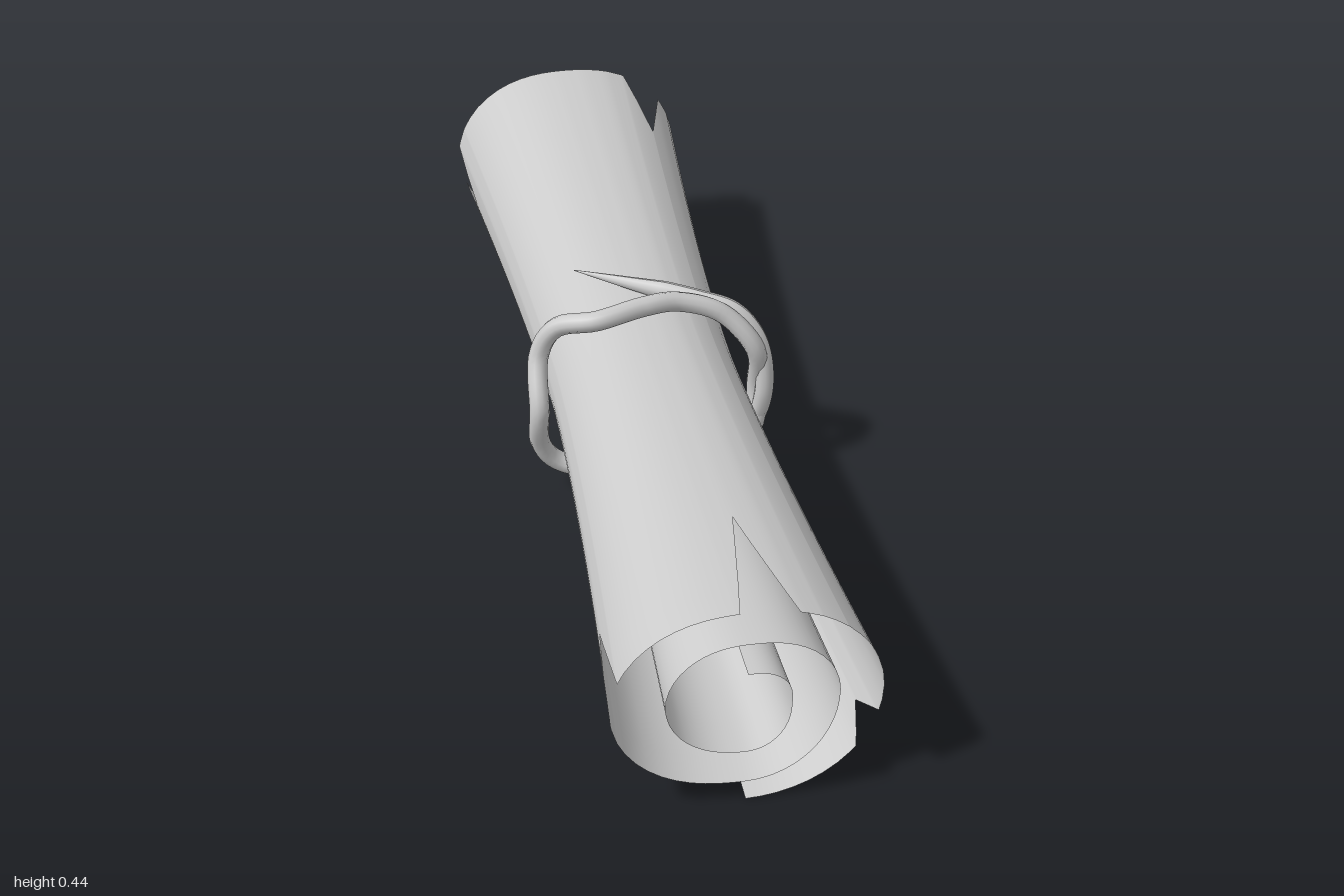
import * as THREE from 'three';

const material = new THREE.MeshStandardMaterial({ color: 0xcccccc, side: THREE.DoubleSide });

// Spiral radius at every quarter turn: bottom, back, top, front, bottom ...
const RADII = [0.222, 0.243, 0.187, 0.243, 0.182, 0.165, 0.12, 0.145, 0.115, 0.08, 0.055];
const TURNS = (RADII.length - 1) / 4;

function spiralRadius(turn) {
  const q = Math.min(turn * 4, RADII.length - 1.0001);
  const i = Math.floor(q);
  const f = q - i;
  return THREE.MathUtils.lerp(RADII[i], RADII[i + 1], f * f * (3 - 2 * f));
}

// Triangular tears: turn position, half width in turns, depth along the roll
const TEARS = {
  left: [[0.765, 0.03, 0.18], [0.355, 0.036, 0.2]],
  right: [[0.735, 0.03, 0.2], [0.47, 0.044, 0.3], [0.185, 0.028, 0.08]],
};

function tearDepth(tears, turn) {
  return tears.reduce((depth, [at, half, deep]) =>
    Math.max(depth, deep * (1 - Math.abs(turn - at) / half)), 0);
}

// Rolled sheet: one column of points per spiral step, shortened where torn
function sheetGeometry() {
  const columns = [];
  for (let i = 0; i <= 120; i++) columns.push(i / 120 * TURNS);
  for (const [at, half] of [...TEARS.left, ...TEARS.right]) columns.push(at - half, at, at + half);
  columns.sort((a, b) => a - b);

  const rows = 28;
  const positions = [];
  const index = [];
  columns.forEach((turn, i) => {
    const angle = turn * Math.PI * 2;
    const r = spiralRadius(turn);
    const start = -1 + tearDepth(TEARS.left, turn);
    const end = 1 - tearDepth(TEARS.right, turn);
    for (let j = 0; j <= rows; j++) {
      const u = THREE.MathUtils.lerp(start, end, j / rows);
      const flare = Math.abs(u) ** 1.5;
      const wide = 0.77 + 0.23 * flare;
      const high = 0.83 + (u < 0 ? 0.2 : 0.17) * flare;
      const centre = 0.228 + flare * (u < 0 ? 0.015 : -0.004);
      positions.push(u, centre - r * high * Math.cos(angle), -r * wide * Math.sin(angle));
      if (i < columns.length - 1 && j < rows) {
        const a = i * (rows + 1) + j;
        const b = a + rows + 1;
        index.push(a, b, a + 1, b, b + 1, a + 1);
      }
    }
  });
  const geometry = new THREE.BufferGeometry();
  geometry.setAttribute('position', new THREE.Float32BufferAttribute(positions, 3));
  geometry.setIndex(index);
  geometry.computeVertexNormals();
  return geometry;
}

// Cord through points; its start can taper to a tip
function cord(name, points, radius, closed, taper) {
  const curve = new THREE.CatmullRomCurve3(points.map(p => new THREE.Vector3(...p)), closed);
  const segments = 100;
  const sides = 10;
  const geometry = new THREE.TubeGeometry(curve, segments, radius, sides, closed);
  if (taper) {
    const pos = geometry.attributes.position;
    const v = new THREE.Vector3();
    for (let i = 0; i < pos.count; i++) {
      const t = Math.floor(i / (sides + 1)) / segments;
      const scale = Math.min(1, 0.05 + t / taper, 0.05 + (1 - t) / 0.04);
      const centre = curve.getPointAt(t);
      v.fromBufferAttribute(pos, i).sub(centre).multiplyScalar(scale).add(centre);
      pos.setXYZ(i, v.x, v.y, v.z);
    }
    geometry.computeVertexNormals();
  }
  const mesh = new THREE.Mesh(geometry, material);
  mesh.name = name;
  return mesh;
}

export function createModel() {
  const model = new THREE.Group();
  model.name = 'tiedScroll';

  // Paper roll, lying diagonally
  const sheet = new THREE.Mesh(sheetGeometry(), material);
  sheet.name = 'rolledSheet';
  sheet.rotation.y = -0.488;
  model.add(sheet);

  // Cord wrapped once around the middle
  model.add(cord('cordLoop', [
    [0.0, 0.42, 0.0], [-0.025, 0.412, 0.1], [-0.09, 0.385, 0.15], [-0.115, 0.32, 0.175],
    [-0.075, 0.22, 0.205], [-0.1, 0.12, 0.185], [-0.09, 0.07, 0.15], [-0.03, 0.052, 0.08],
    [0.02, 0.05, -0.02], [0.07, 0.065, -0.14], [0.1, 0.11, -0.2], [0.09, 0.2, -0.215],
    [0.11, 0.3, -0.195], [0.06, 0.38, -0.145], [0.015, 0.412, -0.07],
  ], 0.02, true));

  // Loose cord end crossing over the top and down the back
  model.add(cord('cordEnd', [
    [-0.23, 0.395, 0.0], [-0.12, 0.4, -0.05], [0.0, 0.39, -0.13], [0.06, 0.37, -0.18],
    [0.1, 0.31, -0.21], [0.115, 0.2, -0.215], [0.085, 0.1, -0.2], [0.065, 0.06, -0.13],
    [0.02, 0.05, -0.04],
  ], 0.019, false, 0.25));

  return model;
}
